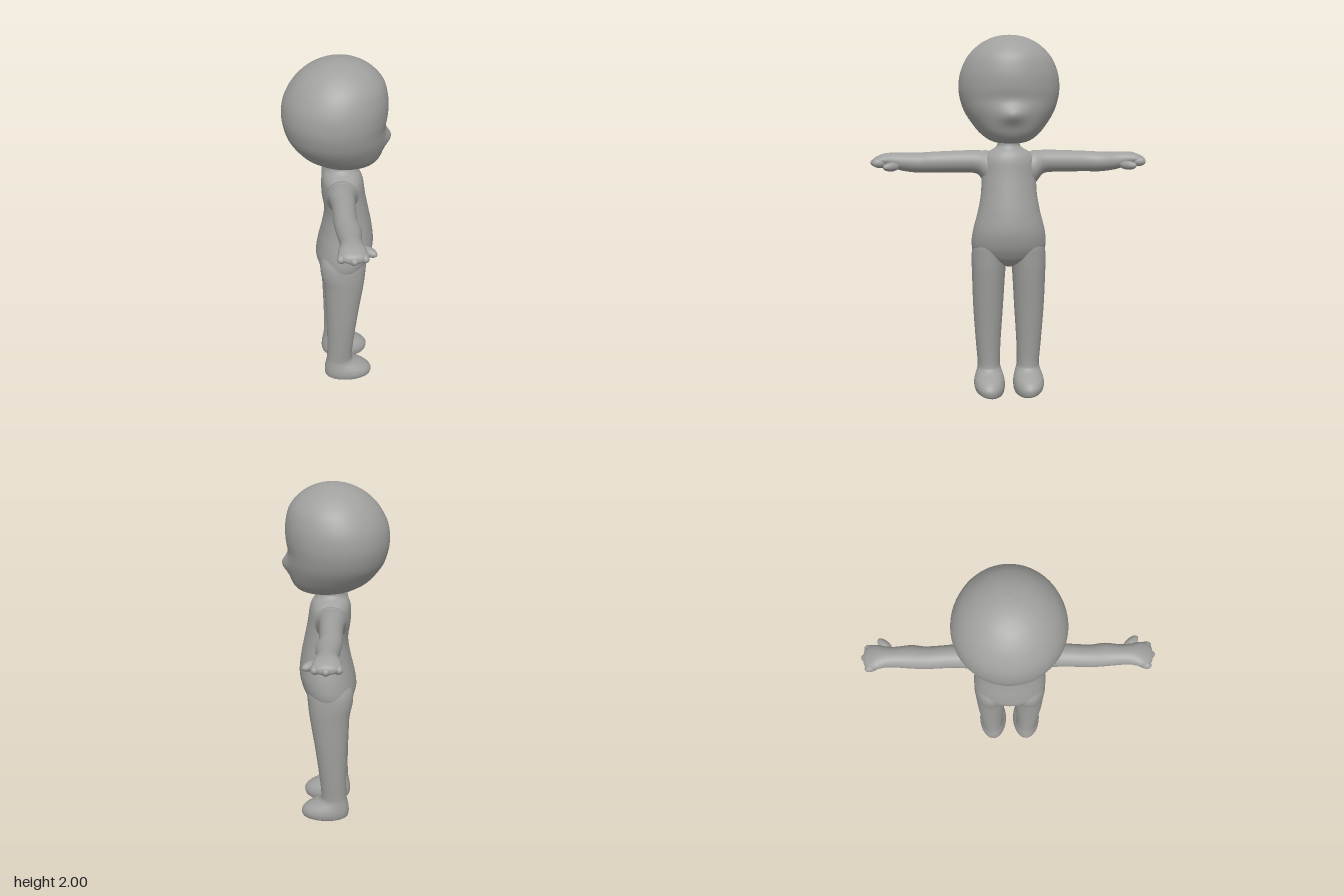
import * as THREE from 'three';

const skin = new THREE.MeshStandardMaterial({ color: 0xa0a09e });
skin.name = 'plain grey';
const black = new THREE.MeshStandardMaterial({ color: 0x000000 });
black.name = 'sole black';

const SHIFT = 0.01; // the body sits slightly to one side

// Smooth interpolation through a list of rings
function smoothRings(rings, steps) {
  const out = [];
  const at = (i) => rings[Math.min(Math.max(i, 0), rings.length - 1)];
  for (let i = 0; i < rings.length - 1; i++) {
    for (let s = 0; s < steps; s++) {
      const t = s / steps;
      out.push(rings[i].map((b, k) => {
        const a = at(i - 1)[k], c = at(i + 1)[k], d = at(i + 2)[k];
        return 0.5 * (2 * b + (c - a) * t + (2 * a - 5 * b + 4 * c - d) * t * t
          + (3 * b - a - 3 * c + d) * t * t * t);
      }));
    }
  }
  out.push(rings[rings.length - 1]);
  return out;
}

// Skin over elliptical rings [y, minX, maxX, centreZ, radiusZ], listed upwards
function loft(rings, segments = 40, steps = 5, rule = null) {
  const pos = [], index = [];
  const list = smoothRings(rings, steps);
  list.forEach(([y, x0, x1, cz, rz], r) => {
    for (let i = 0; i < segments; i++) {
      const a = (i / segments) * Math.PI * 2;
      const p = new THREE.Vector3((x0 + x1) / 2 + (x1 - x0) / 2 * Math.cos(a), y, cz + rz * Math.sin(a));
      if (rule) rule(p);
      pos.push(p.x, p.y, p.z);
      if (r === list.length - 1) continue;
      const b = r * segments + i, c = r * segments + (i + 1) % segments;
      index.push(b, b + segments, c, c, b + segments, c + segments);
    }
  });
  const g = new THREE.BufferGeometry();
  g.setAttribute('position', new THREE.Float32BufferAttribute(pos, 3));
  g.setIndex(index);
  g.computeVertexNormals();
  return g;
}

function add(parent, geometry, name, material = skin) {
  const mesh = new THREE.Mesh(geometry, material);
  mesh.name = name;
  parent.add(mesh);
  return mesh;
}

function ellipsoid(parent, name, position, radii, turnY = 0) {
  const mesh = add(parent, new THREE.SphereGeometry(1, 20, 14), name);
  mesh.position.set(...position);
  mesh.scale.set(...radii);
  mesh.rotation.y = turnY;
}

// Round head with a shallow brow dent and a small pointed muzzle
function makeHead() {
  const bump = (v, c, w) => Math.exp(-(((v - c) / w) ** 2));
  return loft([
    [1.424, 0.06, 0.062, 0, 0.001], [1.428, -0.03, 0.15, 0, 0.07],
    [1.44, -0.085, 0.19, 0, 0.108], [1.46, -0.13, 0.214, 0, 0.14],
    [1.5, -0.188, 0.234, 0, 0.182], [1.58, -0.25, 0.248, 0, 0.238],
    [1.65, -0.275, 0.254, 0, 0.265], [1.72, -0.283, 0.257, 0, 0.275],
    [1.8, -0.27, 0.255, 0, 0.265], [1.88, -0.226, 0.234, 0, 0.229],
    [1.94, -0.166, 0.183, 0, 0.173], [1.975, -0.104, 0.127, 0, 0.116],
    [1.993, -0.047, 0.071, 0, 0.06], [2, 0.011, 0.013, 0, 0.001],
  ], 64, 6, (p) => {
    if (p.x > 0.05) {
      p.x += 0.034 * bump(p.y, 1.575, 0.042) * bump(p.z, 0, 0.065);
      p.x -= 0.009 * bump(p.y, 1.66, 0.04) * bump(p.z, 0, 0.16);
    }
    p.z += SHIFT / 2;
  });
}

function makeTorso() {
  return loft([
    [0.735, 0, 0.05, SHIFT, 0.01], [0.755, -0.06, 0.1, SHIFT, 0.07],
    [0.785, -0.095, 0.138, SHIFT, 0.15], [0.82, -0.111, 0.162, SHIFT, 0.193],
    [0.87, -0.12, 0.185, SHIFT, 0.207], [0.95, -0.108, 0.2, SHIFT, 0.198],
    [1.05, -0.085, 0.19, SHIFT, 0.172], [1.15, -0.071, 0.17, SHIFT, 0.154],
    [1.25, -0.084, 0.15, SHIFT, 0.15], [1.33, -0.085, 0.138, SHIFT, 0.148],
    [1.37, -0.074, 0.123, SHIFT, 0.122], [1.395, -0.055, 0.103, SHIFT, 0.08],
    [1.415, -0.046, 0.093, SHIFT, 0.062], [1.45, -0.046, 0.093, SHIFT, 0.062],
  ], 48);
}

// Leg and rounded foot in one skin, with a slightly tilted black sole
function makeLeg(side) {
  const leg = new THREE.Group();
  const sole = [0.012, -0.072, 0.178, 0.112, 0.072];
  const rule = (p) => {
    const tilt = Math.max(0, 1 - p.y / 0.1);
    p.y += 0.13 * (p.z * side - 0.112) * tilt;
    p.z += SHIFT;
  };
  const rings = [
    sole, [0.024, -0.083, 0.192, 0.112, 0.082], [0.055, -0.088, 0.196, 0.112, 0.088],
    [0.085, -0.086, 0.175, 0.112, 0.085], [0.11, -0.082, 0.135, 0.112, 0.077],
    [0.135, -0.077, 0.09, 0.112, 0.068], [0.17, -0.073, 0.077, 0.113, 0.064],
    [0.3, -0.071, 0.087, 0.116, 0.071], [0.5, -0.076, 0.11, 0.116, 0.084],
    [0.7, -0.086, 0.138, 0.113, 0.093], [0.8, -0.104, 0.148, 0.108, 0.099],
    [0.88, -0.1, 0.15, 0.1, 0.095], [0.96, -0.05, 0.11, 0.09, 0.06],
  ].map(([y, a, b, cz, rz]) => [y, a, b, cz * side, rz]);
  add(leg, loft(rings, 40, 5, rule), 'legAndFoot');

  const disc = new THREE.CircleGeometry(1, 40).rotateX(Math.PI / 2);
  const pos = disc.attributes.position, p = new THREE.Vector3();
  for (let i = 0; i < pos.count; i++) {
    p.fromBufferAttribute(pos, i);
    p.set(0.053 + 0.125 * p.x, sole[0], 0.112 * side + 0.072 * p.z);
    rule(p);
    pos.setXYZ(i, p.x, p.y, p.z);
  }
  disc.computeVertexNormals();
  add(leg, disc, 'sole', black);
  return leg;
}

// Arm lofted upwards, then laid out sideways; hand with stubby fingers
function makeArm(side) {
  const arm = new THREE.Group();
  // [distance from centre, minX, maxX, height, half thickness]
  const rings = [
    [0.09, -0.07, 0.1, 1.28, 0.09], [0.13, -0.073, 0.1, 1.288, 0.095],
    [0.155, -0.07, 0.09, 1.302, 0.08], [0.19, -0.063, 0.076, 1.32, 0.064],
    [0.28, -0.056, 0.066, 1.322, 0.06], [0.42, -0.06, 0.058, 1.319, 0.057],
    [0.5, -0.056, 0.068, 1.317, 0.055], [0.58, -0.051, 0.058, 1.321, 0.05],
    [0.63, -0.053, 0.058, 1.328, 0.044], [0.68, -0.066, 0.066, 1.333, 0.036],
    [0.72, -0.062, 0.064, 1.327, 0.029], [0.743, -0.04, 0.048, 1.322, 0.02],
    [0.752, 0, 0.008, 1.32, 0.003],
  ].map(([d, a, b, h, r]) => [d, a, b, -h * side, r]);
  add(arm, loft(rings, 36).rotateX(side * Math.PI / 2), 'armAndPalm');
  [[-0.045, 0.7, 0.5], [0.002, 0.718, 0], [0.046, 0.705, -0.35]].forEach(([x, z, turn]) =>
    ellipsoid(arm, 'finger', [x, 1.318, z * side], [0.025, 0.026, 0.045], -turn * side));
  ellipsoid(arm, 'thumb', [0.078, 1.3, 0.645 * side], [0.025, 0.024, 0.052], 0.75 * side);
  return arm;
}

export function createModel() {
  const model = new THREE.Group();
  model.name = 'figure';
  add(model, makeHead(), 'head');
  add(model, makeTorso(), 'torso');
  for (const side of [1, -1]) {
    // The figure looks along +x, so its limbs are paired across z
    const label = side > 0 ? 'near' : 'far';
    const leg = makeLeg(side), arm = makeArm(side);
    leg.name = label + 'Leg';
    arm.name = label + 'Arm';
    model.add(leg, arm);
  }
  return model;
}
